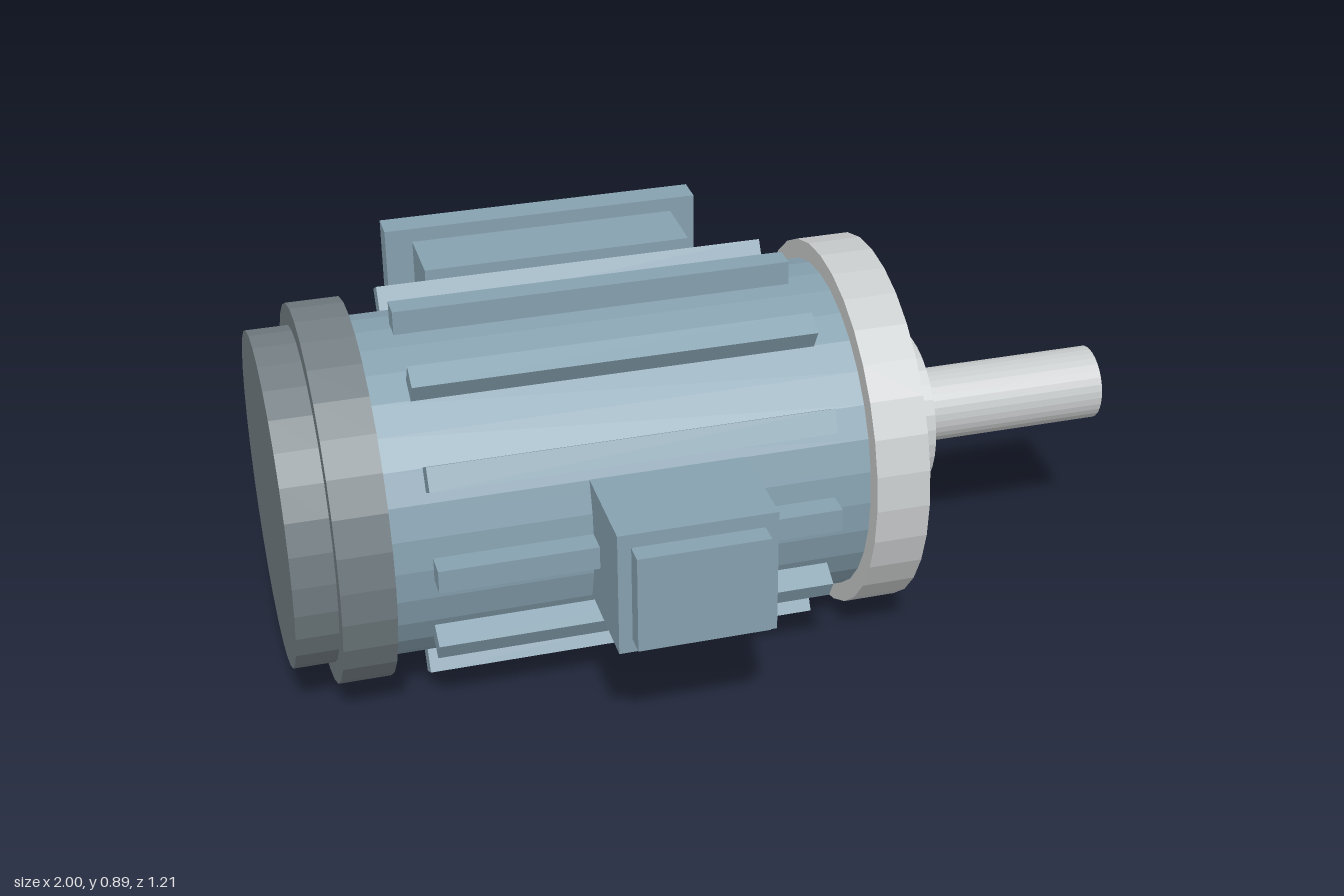
import * as THREE from 'three';

export function createModel() {
  const motor = new THREE.Group();
  motor.name = 'electricMotor';

  const material = (name, color) => {
    const m = new THREE.MeshStandardMaterial({ color, flatShading: true });
    m.name = name;
    return m;
  };
  const blue = material('blueGrey paint', 0x86a1af);
  const light = material('light steel', 0xc8cbcc);
  const dark = material('dark grey', 0x727d82);

  // Shaft axis, parallel to x
  const AY = 0.443, AZ = -0.04;

  const add = (name, geometry, mat, parent = motor) => {
    const mesh = new THREE.Mesh(geometry, mat);
    mesh.name = name;
    parent.add(mesh);
    return mesh;
  };
  // Cylinder on the axis between x0 and x1
  const disc = (name, r, x0, x1, mat) => {
    const g = new THREE.CylinderGeometry(r, r, x1 - x0, 32);
    g.rotateZ(-Math.PI / 2);
    g.translate((x0 + x1) / 2, AY, AZ);
    return add(name, g, mat);
  };
  // Box given by its limits
  const box = (name, [x0, x1], [y0, y1], [z0, z1], mat, parent) => {
    const g = new THREE.BoxGeometry(x1 - x0, y1 - y0, z1 - z0);
    g.translate((x0 + x1) / 2, (y0 + y1) / 2, (z0 + z1) / 2);
    return add(name, g, mat, parent);
  };

  // Housing, end caps and shaft
  disc('housing', 0.39, -0.785, 0.3, blue);
  disc('rearBand', 0.435, -0.905, -0.785, dark);
  disc('fanCover', 0.385, -1, -0.905, dark);
  disc('frontFlange', 0.435, 0.3, 0.425, light);
  disc('bearingBoss', 0.185, 0.425, 0.535, light);
  disc('shaft', 0.088, 0.535, 1, light);

  // Twelve cooling fins around the housing
  const fins = new THREE.Group();
  fins.name = 'coolingFins';
  fins.position.set(0, AY, AZ);
  motor.add(fins);
  for (let i = 0; i < 12; i++) {
    const fin = box('coolingFin', [-0.695, 0.215], [0.37, 0.443], [-0.0275, 0.0275], blue, fins);
    fin.rotation.x = (i * Math.PI) / 6;
  }

  // Terminal box with lid
  box('terminalBox', [-0.34, 0.015], [0.295, 0.593], [0.3, 0.56], blue);
  box('terminalLid', [-0.31, -0.015], [0.328, 0.56], [0.56, 0.608], blue);

  // Two mounting feet, mirrored above and below the axis
  for (const s of [1, -1]) {
    const span = (a, b) => [AY + s * a, AY + s * b].sort((p, q) => p - q);
    box('footBracket', [-0.56, 0.08], span(0.229, 0.355), [-0.537, -0.375], blue);
    box('footPlate', [-0.625, 0.14], span(0.192, 0.389), [-0.606, -0.537], blue);
  }

  return motor;
}
